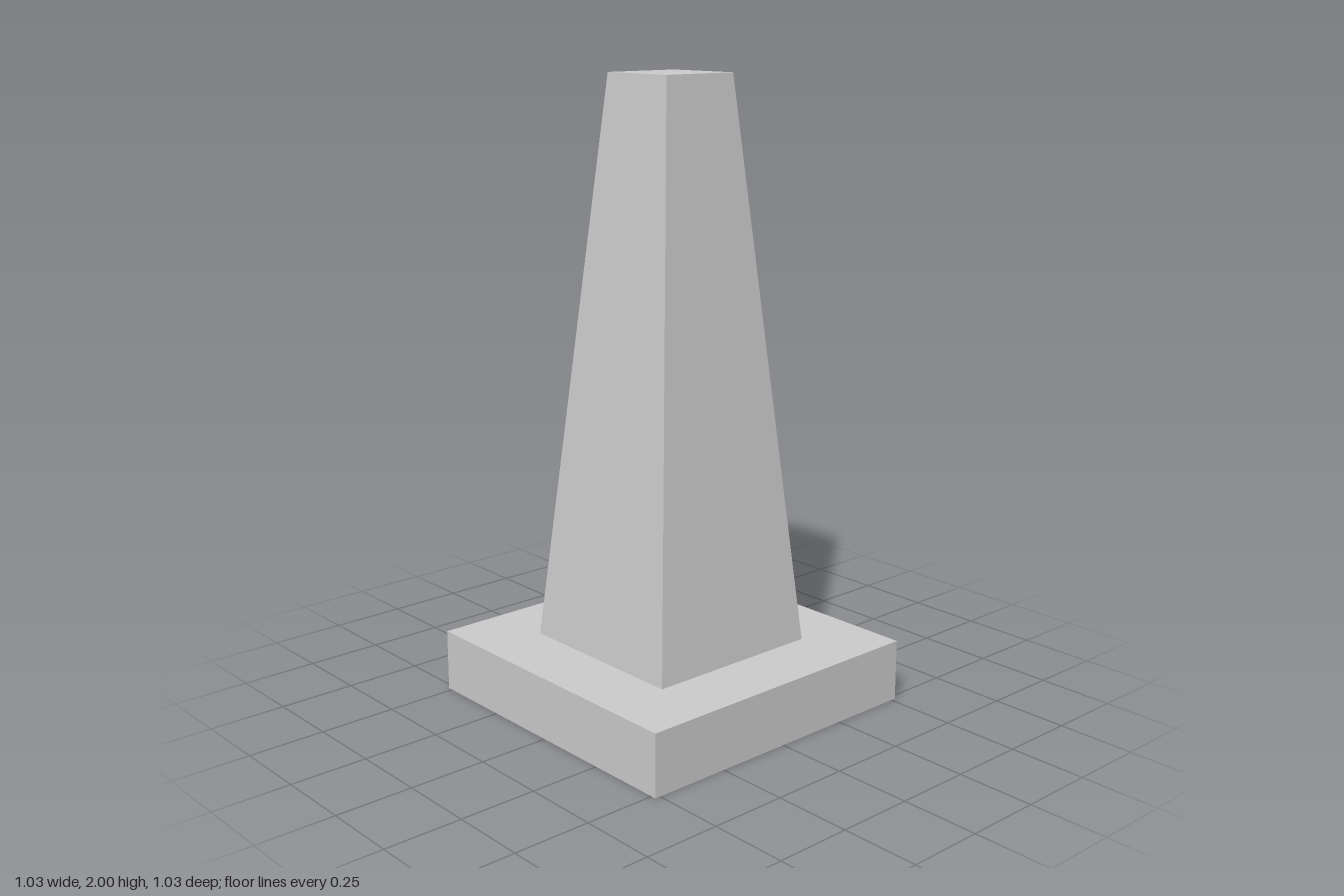
import * as THREE from 'three';

const BASE_WIDTH = 1.035, BASE_HEIGHT = 0.2;
const BOTTOM_HALF = 0.301, TOP_HALF = 0.133, TOTAL_HEIGHT = 2;

// Square frustum standing on y = 0, sides facing the axes
function squareFrustum(topHalf, bottomHalf, height) {
  const geometry = new THREE.CylinderGeometry(topHalf * Math.SQRT2, bottomHalf * Math.SQRT2, height, 4)
    .rotateY(Math.PI / 4)
    .translate(0, height / 2, 0)
    .toNonIndexed();
  geometry.computeVertexNormals();
  return geometry;
}

export function createModel() {
  const group = new THREE.Group();
  group.name = 'trafficCone';
  const material = new THREE.MeshStandardMaterial({ color: 0xcccccc, flatShading: true });

  // Square foot plate
  const base = new THREE.Mesh(new THREE.BoxGeometry(BASE_WIDTH, BASE_HEIGHT, BASE_WIDTH), material);
  base.name = 'base';
  base.position.y = BASE_HEIGHT / 2;
  group.add(base);

  // Four-sided tapering body with a flat top
  const body = new THREE.Mesh(squareFrustum(TOP_HALF, BOTTOM_HALF, TOTAL_HEIGHT - BASE_HEIGHT), material);
  body.name = 'body';
  body.position.y = BASE_HEIGHT;
  group.add(body);

  return group;
}
